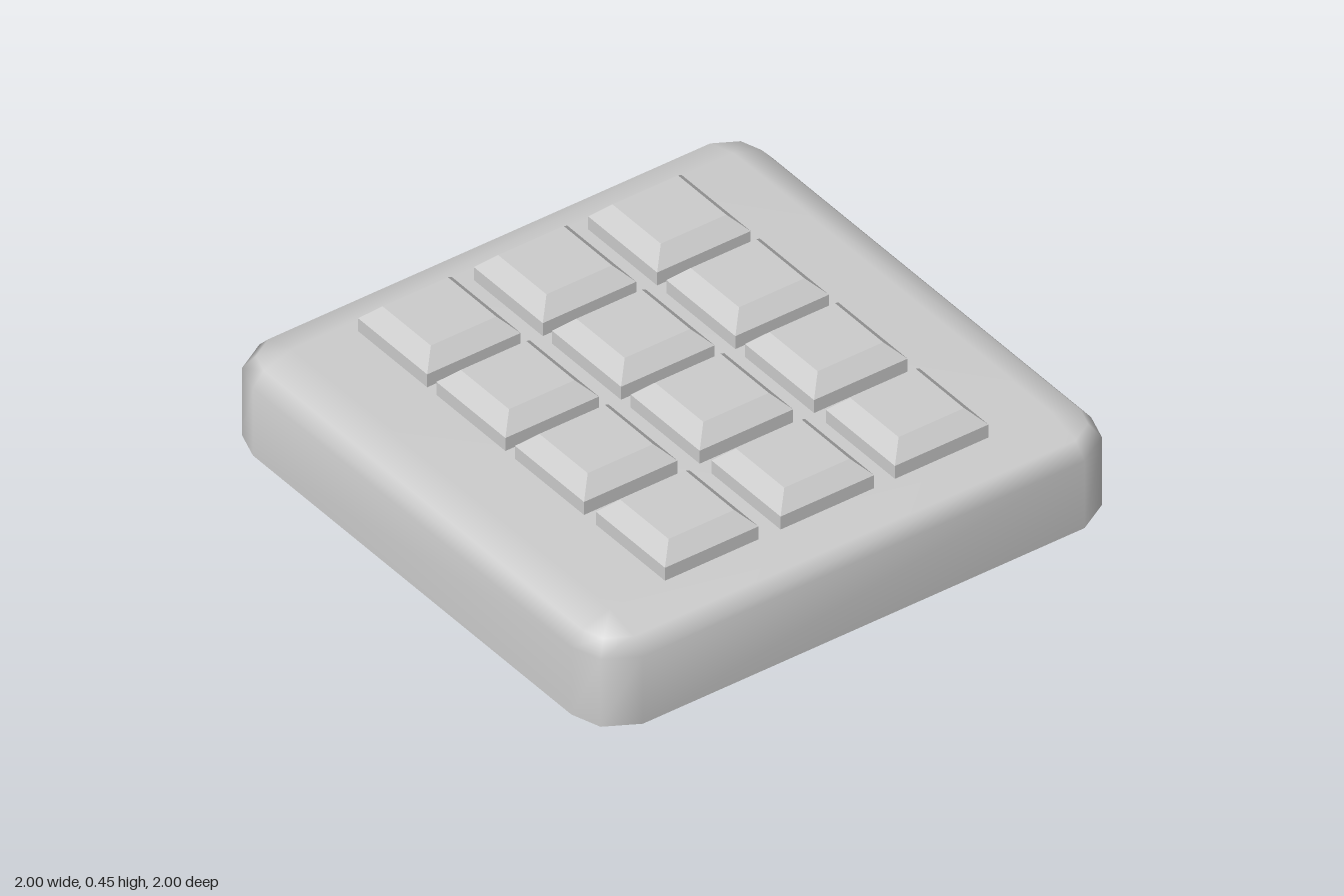
import * as THREE from 'three';
import { mergeVertices } from 'three/addons/utils/BufferGeometryUtils.js';

// Skin between equal-length rings of [x, y, z], closed with a flat cap on top
function loft(rings) {
  const n = rings[0].length, index = [];
  const top = (rings.length - 1) * n, centre = rings.length * n;
  const points = [...rings.flat(), [0, rings[rings.length - 1][0][1], 0]];
  for (let i = 0; i < n; i++) {
    const j = (i + 1) % n;
    for (let r = 0; r < top; r += n) {
      index.push(r + i, r + n + i, r + j, r + j, r + n + i, r + n + j);
    }
    index.push(centre, top + j, top + i);
  }
  const geometry = new THREE.BufferGeometry();
  geometry.setAttribute('position', new THREE.Float32BufferAttribute(points.flat(), 3));
  geometry.setIndex(index);
  return geometry;
}

const CORNERS = [[1, 1], [-1, 1], [-1, -1], [1, -1]];

// Rectangle whose corners follow a two-step bevel; k shrinks the bevel to a point
function bodyRing(y, k) {
  const bevel = [[0.17, 0], [0.105, 0.115], [0, 0.15]];
  return CORNERS.flatMap(([sx, sz]) => {
    const steps = sx * sz > 0 ? bevel : [...bevel].reverse();
    return steps.map(([dx, dz]) => [sx * (0.83 + k * dx), y, sz * (0.85 + k * dz)]);
  });
}

const squareRing = (y, half) => CORNERS.map(([sx, sz]) => [sx * half, y, sz * half]);

export function createModel() {
  const group = new THREE.Group();
  const smooth = new THREE.MeshStandardMaterial({ color: 0xcccccc });
  const faceted = new THREE.MeshStandardMaterial({ color: 0xcccccc, flatShading: true });
  const add = (name, geometry, material) => {
    const mesh = new THREE.Mesh(geometry, material);
    mesh.name = name;
    group.add(mesh);
    return mesh;
  };

  // Smooth body with rounded shoulders
  const body = mergeVertices(loft([
    bodyRing(0, 1), bodyRing(0.26, 1), bodyRing(0.31, 0.72), bodyRing(0.345, 0),
  ]));
  body.computeVertexNormals();
  add('body', body, smooth);

  // Flat underside
  const outline = bodyRing(0, 1).map(([x, , z]) => new THREE.Vector2(x, z));
  add('underside', new THREE.ShapeGeometry(new THREE.Shape(outline)).rotateX(Math.PI / 2), smooth);

  // Keypad: three rows of four bevelled keys
  const key = loft([squareRing(0.34, 0.18), squareRing(0.395, 0.18), squareRing(0.45, 0.126)]).toNonIndexed();
  key.computeVertexNormals();
  [-0.435, 0.005, 0.45].forEach((z, row) => {
    [-0.603, -0.195, 0.215, 0.637].forEach((x, column) => {
      add(`key${row + 1}_${column + 1}`, key, faceted).position.set(x, 0, z);
    });
  });

  return group;
}
